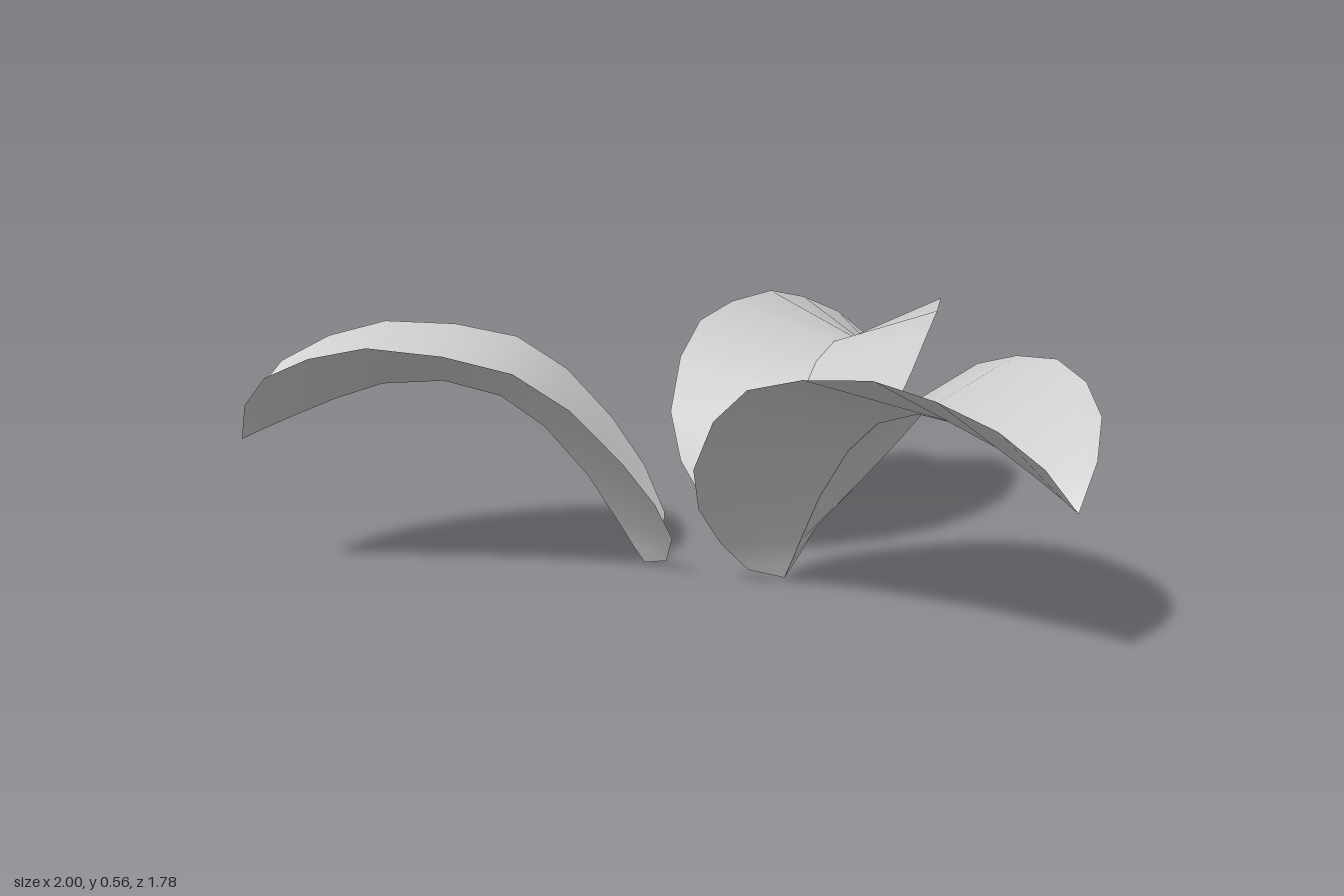
import * as THREE from 'three';

const CENTRE_Z = 0.24;

// Fold line of a petal from base to tip: [y, z]
const FOLD = [
  [0, 0.03], [0.015, 0.021], [0.04, 0.005], [0.1, -0.03], [0.215, -0.1], [0.335, -0.2], [0.41, -0.3],
  [0.448, -0.43], [0.444, -0.57], [0.41, -0.68], [0.37, -0.78], [0.34, -0.85], [0.32, -0.893],
];
// Raised outer rim, row by row with the fold: [x, y, z]
const RIM = [
  [0, 0, 0.03], [0.07, 0.02, 0.078], [0.139, 0.09, 0.088], [0.23, 0.19, 0.045], [0.294, 0.3, -0.03],
  [0.32, 0.425, -0.143], [0.32, 0.508, -0.265], [0.294, 0.545, -0.415], [0.25, 0.56, -0.58],
  [0.203, 0.532, -0.71], [0.139, 0.482, -0.815], [0.07, 0.41, -0.872], [0, 0.32, -0.893],
];

// One half of a petal: straight ribs from the fold to the rim, smooth along its length
function halfPetal(side) {
  const positions = [];
  const index = [];
  FOLD.forEach(([y, z], i) => {
    const [rx, ry, rz] = RIM[i];
    positions.push(0, y, z - CENTRE_Z, side * rx, ry, rz - CENTRE_Z);
    if (i === FOLD.length - 1) return;
    const a = 2 * i, b = a + 1, c = a + 2, d = a + 3;
    const tris = [];
    if (i > 0) tris.push([a, b, c]);
    if (i < FOLD.length - 2) tris.push([b, d, c]);
    if (i === 0) tris[0] = [a, d, c];
    for (const [p, q, r] of tris) index.push(...(side > 0 ? [p, q, r] : [p, r, q]));
  });
  const geometry = new THREE.BufferGeometry();
  geometry.setAttribute('position', new THREE.Float32BufferAttribute(positions, 3));
  geometry.setIndex(index);
  geometry.computeVertexNormals();
  return geometry;
}

export function createModel() {
  const model = new THREE.Group();
  model.name = 'threePetals';
  const material = new THREE.MeshStandardMaterial({ color: 0xcccccc, side: THREE.DoubleSide });
  const halves = { petalHalfLeft: halfPetal(1), petalHalfRight: halfPetal(-1) };

  // Three petals spaced evenly around the centre
  ['backPetal', 'frontRightPetal', 'frontLeftPetal'].forEach((name, i) => {
    const petal = new THREE.Group();
    petal.name = name;
    for (const [halfName, geometry] of Object.entries(halves)) {
      const mesh = new THREE.Mesh(geometry, material);
      mesh.name = halfName;
      petal.add(mesh);
    }
    petal.position.z = CENTRE_Z;
    petal.rotation.y = (i * Math.PI * 2) / 3;
    model.add(petal);
  });
  return model;
}
